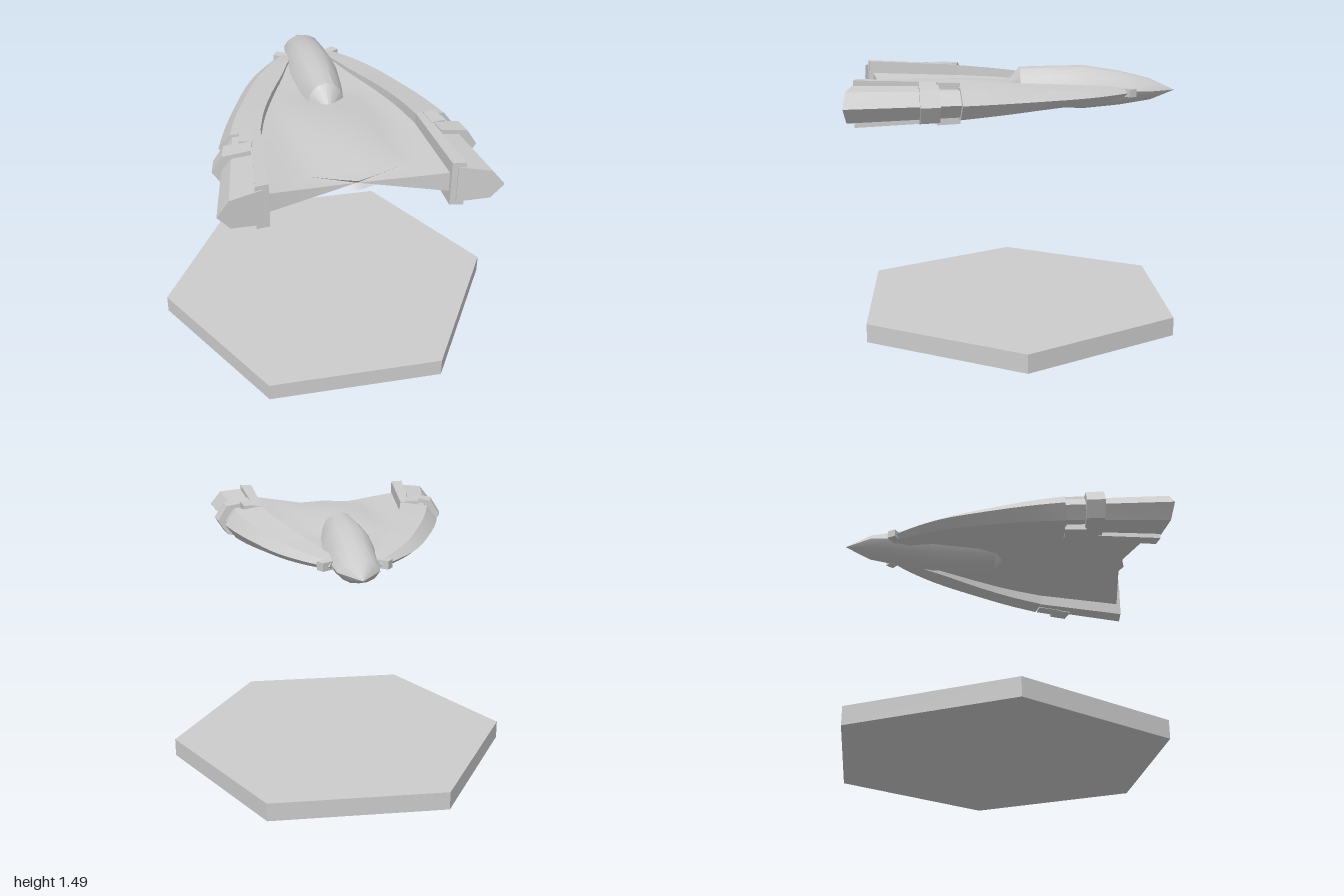
import * as THREE from 'three';
import { toCreasedNormals } from 'three/addons/utils/BufferGeometryUtils.js';

const MID = 1.345; // height of the craft's symmetry plane
const mat = new THREE.MeshStandardMaterial({ color: 0xcccccc });

// Skins a list of closed rings (arrays of Vector3) and caps both ends, facing outward.
function loft(rings, crease) {
  const tris = [];
  const n = rings[0].length;
  for (let i = 0; i < rings.length - 1; i++) {
    for (let j = 0; j < n; j++) {
      const k = (j + 1) % n;
      const [a, b, c, d] = [rings[i][j], rings[i][k], rings[i + 1][k], rings[i + 1][j]];
      tris.push([a, b, c], [a, c, d]);
    }
  }
  [rings[0], rings[rings.length - 1]].forEach((ring, e) => {
    const mid = new THREE.Vector3();
    ring.forEach((p) => mid.addScaledVector(p, 1 / n));
    ring.forEach((p, j) => {
      const q = ring[(j + 1) % n];
      tris.push(e ? [mid, p, q] : [mid, q, p]);
    });
  });
  // Signed volume tells whether the skin is inside out
  const o = rings[0][0];
  let volume = 0;
  for (const t of tris) {
    const [a, b, c] = t.map((p) => p.clone().sub(o));
    volume += a.dot(b.cross(c));
  }
  if (volume < 0) tris.forEach((t) => t.reverse());
  const geo = new THREE.BufferGeometry().setFromPoints(tris.flat());
  return toCreasedNormals(geo, crease);
}

function addMesh(parent, name, geo) {
  const mesh = new THREE.Mesh(geo, mat);
  mesh.name = name;
  parent.add(mesh);
  return mesh;
}

// Boom cross-section: profile holds [fraction across, fraction of half height].
function boomRing(side, inner, outer, h, profile) {
  const half = profile.map(([f, k]) => [f, k * h]);
  const lower = half.filter((p) => p[1] > 0).reverse().map(([f, y]) => [f, -y]);
  return half.concat(lower).map(([f, y]) => new THREE.Vector3(
    side * THREE.MathUtils.lerp(inner[0], outer[0], f),
    MID + y,
    THREE.MathUtils.lerp(inner[1], outer[1], f)));
}

const BEVELLED = [[0, 1], [0.72, 0.78], [1, 0]];
const SQUARE = [[0, 1], [1, 1]];

// Stations: inner x, inner z, outer x, outer z, half height
const BOOM = [
  [0.09, -0.58, 0.135, -0.67, 0.025],
  [0.12, -0.53, 0.22, -0.59, 0.034],
  [0.20, -0.32, 0.375, -0.385, 0.052],
  [0.29, -0.10, 0.51, -0.085, 0.072],
  [0.37, 0.13, 0.59, 0.13, 0.09],
  [0.425, 0.36, 0.645, 0.315, 0.105],
];

function boomPart(side, stations, profile) {
  return loft(stations.map(([xi, zi, xo, zo, h]) =>
    boomRing(side, [xi, zi], [xo, zo], h, profile)), 0.35);
}

function buildBoom(side) {
  const g = new THREE.Group();
  g.name = side > 0 ? 'leftBoom' : 'rightBoom';

  // Curved forward arm
  const inner = new THREE.CatmullRomCurve3(BOOM.map((s) => new THREE.Vector3(s[0], s[4], s[1])));
  const outer = new THREE.CatmullRomCurve3(BOOM.map((s) => new THREE.Vector3(s[2], s[4], s[3])));
  const stations = [];
  for (let i = 0; i <= 20; i++) {
    const a = inner.getPoint(i / 20), b = outer.getPoint(i / 20);
    stations.push([a.x, a.z, b.x, b.z, a.y]);
  }
  addMesh(g, 'forwardArm', boomPart(side, stations, BEVELLED));

  // Rear pod with bevelled outer edge, and the taller rib along its inner side
  addMesh(g, 'rearPod', boomPart(side, [
    [0.44, 0.30, 0.615, 0.30, 0.088],
    [0.49, 0.89, 0.725, 0.93, 0.104],
  ], BEVELLED));
  addMesh(g, 'innerRib', boomPart(side, [
    [0.42, 0.34, 0.47, 0.34, 0.106],
    [0.46, 0.88, 0.53, 0.89, 0.126],
  ], SQUARE));

  // Clamp band around the pod and the tabs joining it to the arm
  addMesh(g, 'clampBand', boomPart(side, [
    [0.485, 0.45, 0.685, 0.43, 0.112],
    [0.50, 0.55, 0.705, 0.535, 0.115],
  ], BEVELLED));
  addMesh(g, 'clampTab', boomPart(side, [
    [0.46, 0.34, 0.53, 0.33, 0.11],
    [0.475, 0.46, 0.55, 0.45, 0.113],
  ], SQUARE));

  // Small fitting where the arm meets the fuselage
  const fitting = addMesh(g, 'noseFitting', new THREE.BoxGeometry(0.12, 0.045, 0.05));
  fitting.position.set(side * 0.135, MID, -0.625);
  fitting.rotation.y = side * 0.6;
  return g;
}

// Inner edge of the booms at a given z
function innerEdge(z) {
  const pts = [...BOOM.map((s) => [s[0], s[1]]), [0.46, 0.87]];
  for (let i = 0; i < pts.length - 1; i++) {
    const [x0, z0] = pts[i], [x1, z1] = pts[i + 1];
    if (z <= z1) return x0 + (x1 - x0) * Math.max(0, (z - z0) / (z1 - z0));
  }
  return 0.46;
}

// Thin deck between the booms, swelling to a dome in the middle
function buildDeck() {
  const half = [0.09, 0.18, 0.27, 0.36, 0.44, 0.511, 0.6, 0.7, 0.85, 1];
  const us = [...half.map((u) => -u).reverse(), 0, ...half];
  const rings = [];
  const steps = 24;
  for (let i = 0; i <= steps; i++) {
    const v = i / steps;
    const top = us.map((u) => {
      const ax = Math.abs(u) * 0.46;
      const rear = ax < 0.235 ? 0.80 - 0.34 * ax : 0.72 + 0.62 * (ax - 0.235);
      const z = -0.56 + v * (rear + 0.56);
      const x = u * (innerEdge(z) + 0.01);
      const across = Math.max(0, 1 - (x / 0.27) ** 2);
      const along = Math.max(0, Math.sin(Math.PI * (z + 0.12) / 0.88));
      const h = 0.02 + 0.008 * v + 0.04 * across * along + 0.028 * v * Math.abs(u) ** 3;
      return new THREE.Vector3(x, h, z);
    });
    const bottom = top.map((p) => new THREE.Vector3(p.x, MID - p.y, p.z)).reverse();
    top.forEach((p) => { p.y += MID; });
    rings.push(top.concat(bottom));
  }
  return loft(rings, 0.6);
}

// Faceted fuselage. Stations: z, half width, top, bottom, height of the widest line
function buildFuselage() {
  const section = [[0, 1], [0.4, 0.92], [0.75, 0.6], [1, 0], [0.75, -0.6], [0.4, -0.92], [0, -1]];
  const outline = section.concat(section.slice(1, -1).reverse().map(([x, y]) => [-x, y]));
  const stations = [
    [-0.93, 0.001, 1.341, 1.339, 1.34],
    [-0.78, 0.11, 1.41, 1.285, 1.345],
    [-0.60, 0.128, 1.455, 1.255, 1.35],
    [-0.39, 0.145, 1.488, 1.235, 1.355],
    [-0.20, 0.132, 1.486, 1.247, 1.355],
    [-0.02, 0.11, 1.482, 1.26, 1.355],
    [0.09, 0.001, 1.357, 1.355, 1.356],
  ];
  return loft(stations.map(([z, w, t, b, m]) => outline.map(([x, y]) =>
    new THREE.Vector3(x * w, m + y * (y > 0 ? t - m : m - b), z))), 0.6);
}

export function createModel() {
  const model = new THREE.Group();
  model.name = 'craftOverHexBase';

  // Hexagonal base plate with corners on the x axis
  const base = new THREE.CylinderGeometry(1, 1, 0.106, 6).rotateY(Math.PI / 6);
  addMesh(model, 'hexBase', toCreasedNormals(base, 0.3)).position.y = 0.053;

  const craft = new THREE.Group();
  craft.name = 'craft';
  addMesh(craft, 'fuselage', buildFuselage());
  addMesh(craft, 'deck', buildDeck());
  for (const side of [1, -1]) craft.add(buildBoom(side));
  model.add(craft);
  return model;
}
